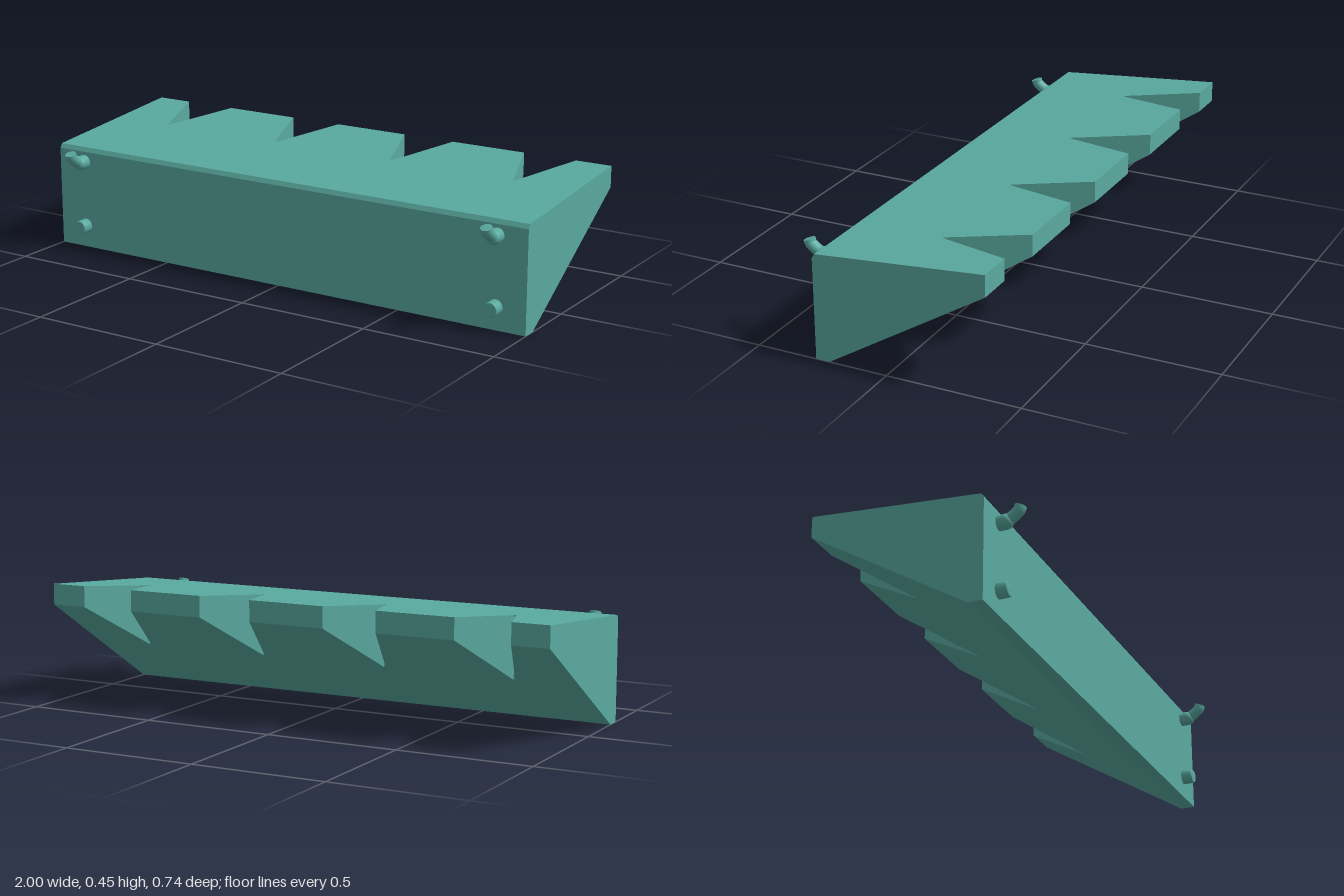
import * as THREE from 'three';

const FRONT = 0.272, BACK = -0.372, SEAM = 0.22;
const topY = z => 0.392 + (0.262 - z) * 0.0883;
const bottomY = z => (SEAM - z) * 0.6233;

export function createModel() {
  const model = new THREE.Group();
  model.name = 'notchedRack';
  const flat = new THREE.MeshStandardMaterial({ color: 0x5aaaa0, flatShading: true });
  const smooth = new THREE.MeshStandardMaterial({ color: 0x5aaaa0 });

  const add = (parent, name, geometry, material) => {
    const mesh = new THREE.Mesh(geometry, material);
    mesh.name = name;
    parent.add(mesh);
    return mesh;
  };

  // Toothed shelf: notched plan, then top and underside are tilted
  const plan = new THREE.Shape();
  plan.moveTo(-1, -SEAM);
  plan.lineTo(1, -SEAM);
  plan.lineTo(1, -BACK);
  for (const x of [0.757, 0.252, -0.252, -0.757]) {
    plan.lineTo(x + 0.104, -BACK);
    plan.lineTo(x + 0.003, 0.092);
    plan.lineTo(x - 0.003, 0.092);
    plan.lineTo(x - 0.104, -BACK);
  }
  plan.lineTo(-1, -BACK);
  const shelf = new THREE.ExtrudeGeometry(plan, { depth: 1, bevelEnabled: false });
  shelf.rotateX(-Math.PI / 2);
  const p = shelf.attributes.position;
  for (let i = 0; i < p.count; i++) {
    const z = p.getZ(i);
    p.setY(i, p.getY(i) > 0.5 ? topY(z) : bottomY(z));
  }
  shelf.computeVertexNormals();
  add(model, 'toothedShelf', shelf, flat);

  // Front plate: side profile with a chamfered upper edge, run along x
  const side = new THREE.Shape([
    [-FRONT, 0], [-SEAM, 0], [-SEAM, topY(SEAM)], [-0.262, 0.392], [-FRONT, 0.376],
  ].map(([x, y]) => new THREE.Vector2(x, y)));
  const plate = new THREE.ExtrudeGeometry(side, { depth: 2, bevelEnabled: false });
  plate.translate(0, 0, -1);
  plate.rotateY(Math.PI / 2);
  add(model, 'frontPlate', plate, flat);

  // Pegs and hooks at both ends of the front plate
  const pegProfile = [[0, 0], [0.027, 0], [0.027, 0.045], [0.0255, 0.049], [0.023, 0.051], [0, 0.051]]
    .map(([r, h]) => new THREE.Vector2(r, h));
  const hookPath = new THREE.CatmullRomCurve3([
    [0.27, 0.337], [0.296, 0.337], [0.314, 0.345], [0.335, 0.359], [0.347, 0.37], [0.352, 0.384],
  ].map(([z, y]) => new THREE.Vector3(0, y, z)));

  for (const [label, x] of [['left', 0.884], ['right', -0.884]]) {
    const peg = add(model, label + 'LowerPeg', new THREE.LatheGeometry(pegProfile, 24), smooth);
    peg.geometry.rotateX(Math.PI / 2);
    peg.position.set(x, 0.084, 0.264);

    const hook = new THREE.Group();
    hook.name = label + 'Hook';
    hook.position.x = x;
    const base = new THREE.CylinderGeometry(0.027, 0.027, 0.036, 24);
    base.rotateX(Math.PI / 2);
    add(hook, 'hookBase', base, smooth).position.set(0, 0.337, 0.282);
    add(hook, 'hookElbow', new THREE.SphereGeometry(0.027, 24, 16), smooth).position.set(0, 0.337, 0.299);
    add(hook, 'hookArm', new THREE.TubeGeometry(hookPath, 28, 0.021, 20), smooth);
    const cap = add(hook, 'hookTip', new THREE.CircleGeometry(0.021, 20), smooth);
    const end = hookPath.getPoint(1);
    cap.position.copy(end);
    cap.quaternion.setFromUnitVectors(new THREE.Vector3(0, 0, 1), hookPath.getTangent(1));
    model.add(hook);
  }
  return model;
}
